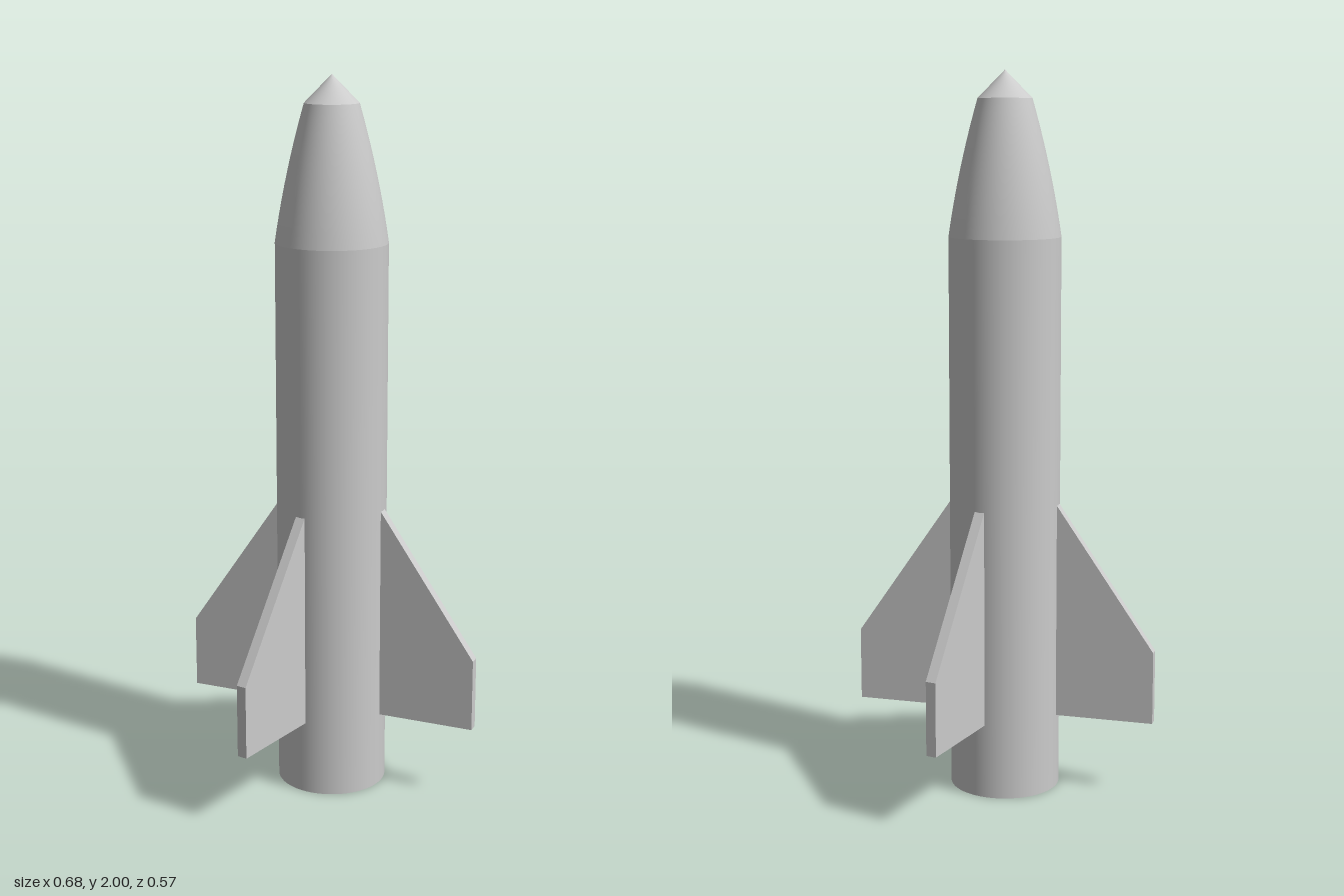
import * as THREE from 'three';

const SEGMENTS = 64;
const BODY_R = 0.154;
const NOSE_Y = 1.555;
const TIP_R = 0.074;
const TIP_Y = 1.925;

export function createModel() {
  const group = new THREE.Group();
  const material = new THREE.MeshStandardMaterial({ color: 0xcccccc });
  const add = (name, geometry) => {
    const mesh = new THREE.Mesh(geometry, material);
    mesh.name = name;
    group.add(mesh);
    return mesh;
  };

  // Straight tube with a closed base
  add('body', new THREE.CylinderGeometry(BODY_R, BODY_R, NOSE_Y, SEGMENTS)).position.y = NOSE_Y / 2;

  // Gently bowed nose, tapering to the tip
  const bow = new THREE.QuadraticBezierCurve(
    new THREE.Vector2(BODY_R, NOSE_Y),
    new THREE.Vector2(0.127, 1.74),
    new THREE.Vector2(TIP_R, TIP_Y),
  );
  add('noseCone', new THREE.LatheGeometry(bow.getPoints(10), SEGMENTS));

  // Blunt conical tip
  const tipHeight = 2 - TIP_Y;
  add('noseTip', new THREE.ConeGeometry(TIP_R, tipHeight, SEGMENTS, 1, true)).position.y = TIP_Y + tipHeight / 2;

  // Four swept fins, rooted inside the body
  const thickness = 0.029;
  const outline = new THREE.Shape([
    new THREE.Vector2(0.13, 0.21),
    new THREE.Vector2(0.43, 0.21),
    new THREE.Vector2(0.43, 0.415),
    new THREE.Vector2(0.13, 0.85),
  ]);
  const finGeometry = new THREE.ExtrudeGeometry(outline, { depth: thickness, bevelEnabled: false });
  finGeometry.translate(0, 0, -thickness / 2);
  const spread = THREE.MathUtils.degToRad(39.3);
  const angles = {
    backLeftFin: spread,
    backRightFin: Math.PI - spread,
    frontRightFin: Math.PI + spread,
    frontLeftFin: -spread,
  };
  for (const [name, angle] of Object.entries(angles)) {
    add(name, finGeometry).rotation.y = angle;
  }

  return group;
}
